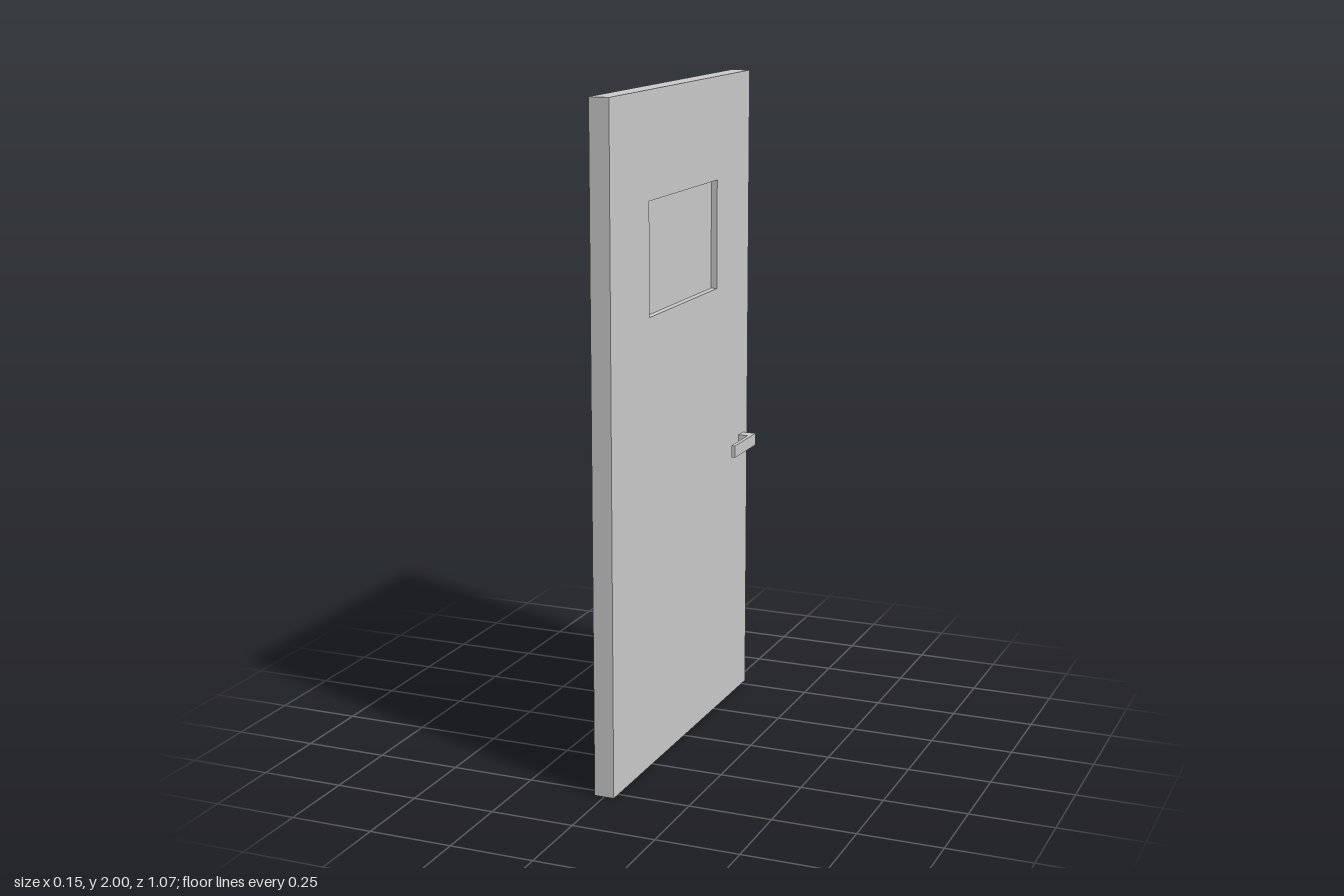
import * as THREE from 'three';

const material = new THREE.MeshStandardMaterial({ color: 0xcccccc, flatShading: true });

function addMesh(group, name, geometry) {
  const mesh = new THREE.Mesh(geometry, material);
  mesh.name = name;
  group.add(mesh);
  return mesh;
}

function polygon(points) {
  return points.map(([x, y]) => new THREE.Vector2(x, y));
}

function rectangle(halfWidth, bottom, top) {
  return polygon([[-halfWidth, bottom], [halfWidth, bottom], [halfWidth, top], [-halfWidth, top]]);
}

export function createModel() {
  const door = new THREE.Group();
  door.name = 'door';

  const thickness = 0.06, halfWidth = 0.533;
  const windowHalf = 0.262, windowBottom = 1.357, windowTop = 1.689;

  // Door leaf with a window opening, turned to lie in the y-z plane
  const leaf = new THREE.Shape(rectangle(halfWidth, 0, 2));
  leaf.holes.push(new THREE.Path(rectangle(windowHalf, windowBottom, windowTop)));
  const leafGeometry = new THREE.ExtrudeGeometry(leaf, { depth: thickness, bevelEnabled: false });
  leafGeometry.translate(0, 0, -thickness / 2).rotateY(Math.PI / 2);
  addMesh(door, 'doorLeaf', leafGeometry);

  // Pane set back from both faces
  const pane = addMesh(door, 'windowPane',
    new THREE.BoxGeometry(0.022, windowTop - windowBottom, windowHalf * 2));
  pane.position.y = (windowBottom + windowTop) / 2;

  // L-shaped lever handle on each face: plan outline extruded upward
  for (const [side, name] of [[1, 'leftHandle'], [-1, 'rightHandle']]) {
    const outline = [
      [0.03, 0.498], [0.073, 0.498], [0.073, 0.315],
      [0.061, 0.315], [0.061, 0.459], [0.03, 0.459],
    ].map(([x, y]) => [side * x, y]);
    const handle = new THREE.ExtrudeGeometry(new THREE.Shape(polygon(outline)),
      { depth: 0.038, bevelEnabled: false });
    handle.rotateX(-Math.PI / 2);
    addMesh(door, name, handle).position.y = 0.815;
  }

  return door;
}
